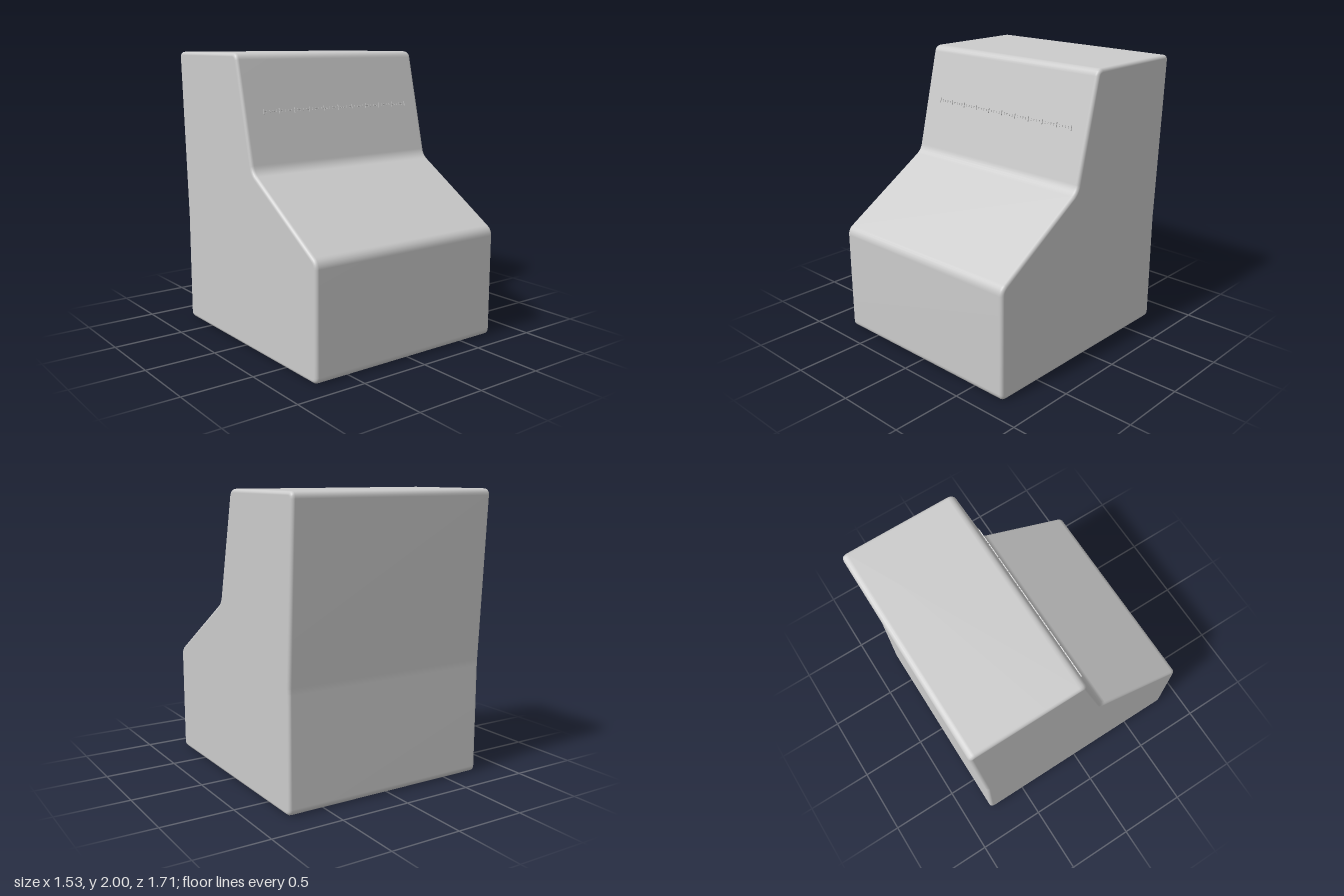
import * as THREE from 'three';
import { mergeVertices } from 'three/addons/utils/BufferGeometryUtils.js';

const WIDTH = 1.53;
const BEVEL = 0.025;

// Side profile as (z, y, corner trim)
const PROFILE = [
  [0.855, 0, 0.045], [0.855, 0.775, 0.045], [0.14, 1.228, 0.045], [-0.047, 2, 0.045],
  [-0.857, 2, 0.045], [-0.795, 0.8, 0.02], [-0.795, 0, 0.045],
];

// Closed outline with every corner rounded
function roundedOutline(points) {
  const shape = new THREE.Shape();
  const n = points.length;
  const at = (i) => new THREE.Vector2(points[(i + n) % n][0], points[(i + n) % n][1]);
  points.forEach(([x, y, trim], i) => {
    const p = at(i);
    const a = p.clone().add(at(i - 1).sub(p).setLength(trim));
    const b = p.clone().add(at(i + 1).sub(p).setLength(trim));
    if (i === 0) shape.moveTo(a.x, a.y);
    else shape.lineTo(a.x, a.y);
    shape.quadraticCurveTo(x, y, b.x, b.y);
  });
  shape.closePath();
  return shape;
}

// Cabinet extruded across its width, with soft edges and flat-shaded faces
function cabinetGeometry() {
  const depth = WIDTH - 2 * BEVEL;
  let geo = new THREE.ExtrudeGeometry(roundedOutline(PROFILE), {
    depth, curveSegments: 5, bevelEnabled: true, bevelSegments: 4,
    bevelSize: BEVEL, bevelThickness: BEVEL, bevelOffset: -BEVEL,
  });
  geo.translate(0, 0, -depth / 2);
  geo.rotateY(-Math.PI / 2);
  geo.deleteAttribute('normal');
  geo.deleteAttribute('uv');
  geo = mergeVertices(geo, 1e-5);
  geo.computeVertexNormals();
  // Keep the big faces flat: side panels face straight out, walls have no sideways tilt
  const pos = geo.attributes.position;
  const nor = geo.attributes.normal;
  const v = new THREE.Vector3();
  for (let i = 0; i < pos.count; i++) {
    const x = pos.getX(i);
    v.fromBufferAttribute(nor, i);
    if (Math.abs(x) > WIDTH / 2 - 1e-4) v.set(Math.sign(x), 0, 0);
    else if (Math.abs(x) < depth / 2 + 1e-4) v.setX(0).normalize();
    nor.setXYZ(i, v.x, v.y, v.z);
  }
  return geo;
}

export function createModel() {
  const model = new THREE.Group();
  const grey = new THREE.MeshStandardMaterial({ color: 0xcccccc });

  const cabinet = new THREE.Mesh(cabinetGeometry(), grey);
  cabinet.name = 'cabinet';
  model.add(cabinet);

  // Fine graduated scale lying on the sloped upper panel
  const scale = new THREE.Group();
  scale.name = 'scale';
  const bar = new THREE.Mesh(new THREE.BoxGeometry(1.24, 0.004, 0.012), grey);
  bar.name = 'scaleLine';
  scale.add(bar);
  for (let i = 0; i <= 50; i++) {
    const height = i % 5 === 0 ? 0.036 : 0.014;
    const tick = new THREE.Mesh(new THREE.BoxGeometry(0.004, height, 0.012), grey);
    tick.name = 'scaleTick';
    tick.position.x = -0.62 + i * 0.0248;
    scale.add(tick);
  }
  const slope = (0.14 + 0.047) / (2 - 1.228);
  const y = 1.615;
  scale.position.set(0.01, y, 0.14 - (y - 1.228) * slope + 0.001);
  scale.rotation.x = -Math.atan(slope);
  model.add(scale);

  return model;
}
